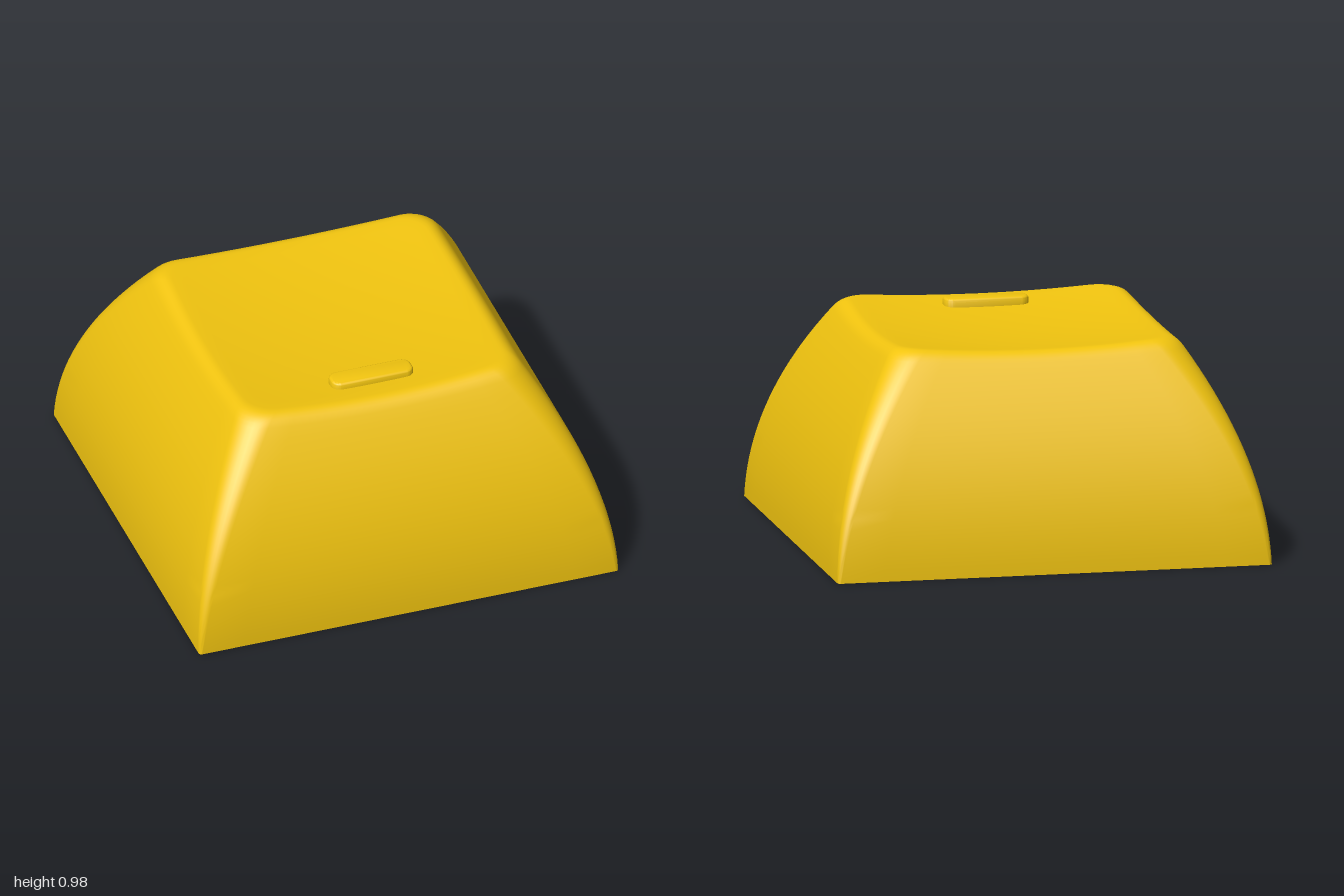
import * as THREE from 'three';
import { toCreasedNormals } from 'three/addons/utils/BufferGeometryUtils.js';

const ARC = 8, EDGE = 10;

// Point k of a rounded square: [x, z], running from +x towards +z
const COUNT = 4 * (ARC + EDGE);
function squarePoint(k, half, r) {
  const side = Math.floor(k / (ARC + EDGE)) % 4, i = k % (ARC + EDGE), c = half - r;
  let x, z;
  if (i < EDGE) { x = half; z = -c + 2 * c * i / EDGE; }
  else {
    const a = (i - EDGE) / ARC * Math.PI / 2;
    x = c + r * Math.cos(a); z = c + r * Math.sin(a);
  }
  for (let s = 0; s < side; s++) [x, z] = [-z, x];
  return [x, z];
}

// Bulging outer wall, straighter inner wall, and the dished top and ceiling
const outer = (k, y) => squarePoint(k, 1 - 0.02 * y - 0.34 * y * y, 0.015 + 0.115 * y);
const inner = (k, y) => squarePoint(k, 0.825 - 0.16 * y - 0.125 * y * y, 0.004);
const topDish = (x, z) => 0.926 + 0.083 * (x * x + z * z);
const ceilingDish = (x, z) => 0.74 + 0.11 * (x * x + z * z);

// Height at which a wall column meets a dish
function meet(wall, dish, k) {
  let y = 0.9;
  for (let n = 0; n < 12; n++) y = dish(...wall(k, y));
  return y;
}

// One column of the shell: ceiling centre, inner wall, rim, outer wall, rounded edge, top centre
function column(k) {
  const pts = [];
  const hi = meet(inner, ceilingDish, k), [ix, iz] = inner(k, hi);
  for (let i = 0; i <= 8; i++) {
    const s = i / 8;
    pts.push([ix * s, ceilingDish(ix * s, iz * s), iz * s]);
  }
  for (let i = 7; i >= 0; i--) {
    const y = hi * i / 8, [x, z] = inner(k, y);
    pts.push([x, y, z]);
  }
  const ho = meet(outer, topDish, k), [ox, oz] = outer(k, ho), yf = ho - 0.05;
  for (let i = 0; i <= 20; i++) {
    const y = yf * i / 20, [x, z] = outer(k, y);
    pts.push([x, y, z]);
  }
  const a = pts[pts.length - 1], b = [ox, ho, oz], q = 0.93;
  const c = [ox * q, topDish(ox * q, oz * q), oz * q];
  for (let i = 1; i <= 6; i++) {
    const t = i / 6, u = 1 - t;
    pts.push(a.map((v, n) => u * u * v + 2 * u * t * b[n] + t * t * c[n]));
  }
  for (let i = 11; i >= 0; i--) {
    const s = q * i / 12;
    pts.push([ox * s, topDish(ox * s, oz * s), oz * s]);
  }
  return pts;
}

function shellGeometry() {
  const columns = Array.from({ length: COUNT }, (_, k) => column(k));
  const rows = columns[0].length, index = [];
  for (let k = 0; k < COUNT; k++) {
    const n = (k + 1) % COUNT;
    for (let j = 0; j < rows - 1; j++) {
      const a = k * rows + j, b = n * rows + j;
      if (j > 0) index.push(a, a + 1, b);
      if (j < rows - 2) index.push(b, a + 1, b + 1);
      if (j === 0) index.push(a, a + 1, b + 1);
    }
  }
  const g = new THREE.BufferGeometry();
  g.setAttribute('position', new THREE.Float32BufferAttribute(columns.flat(2), 3));
  g.setIndex(index);
  return toCreasedNormals(g, 0.6);
}

// Small raised bar with rounded ends and a softened rim
function barGeometry() {
  const bevel = 0.015, w = 0.195 - bevel, d = 0.055 - bevel, r = 0.03;
  const s = new THREE.Shape();
  s.absarc(w - r, d - r, r, 0, Math.PI / 2);
  s.absarc(-w + r, d - r, r, Math.PI / 2, Math.PI);
  s.absarc(-w + r, -d + r, r, Math.PI, 1.5 * Math.PI);
  s.absarc(w - r, -d + r, r, 1.5 * Math.PI, 2 * Math.PI);
  const g = new THREE.ExtrudeGeometry(s, {
    depth: 0.05, bevelEnabled: true, bevelThickness: bevel, bevelSize: bevel,
    bevelSegments: 4, curveSegments: 8,
  });
  g.rotateX(-Math.PI / 2);
  return toCreasedNormals(g, 0.6);
}

export function createModel() {
  const group = new THREE.Group();
  group.name = 'keycap';
  const material = new THREE.MeshStandardMaterial({ color: 0xf1c40f });

  const shell = new THREE.Mesh(shellGeometry(), material);
  shell.name = 'capShell';

  const bar = new THREE.Mesh(barGeometry(), material);
  bar.name = 'homingBar';
  bar.position.set(0, 0.98 - 0.065, 0.475);

  group.add(shell, bar);
  return group;
}
